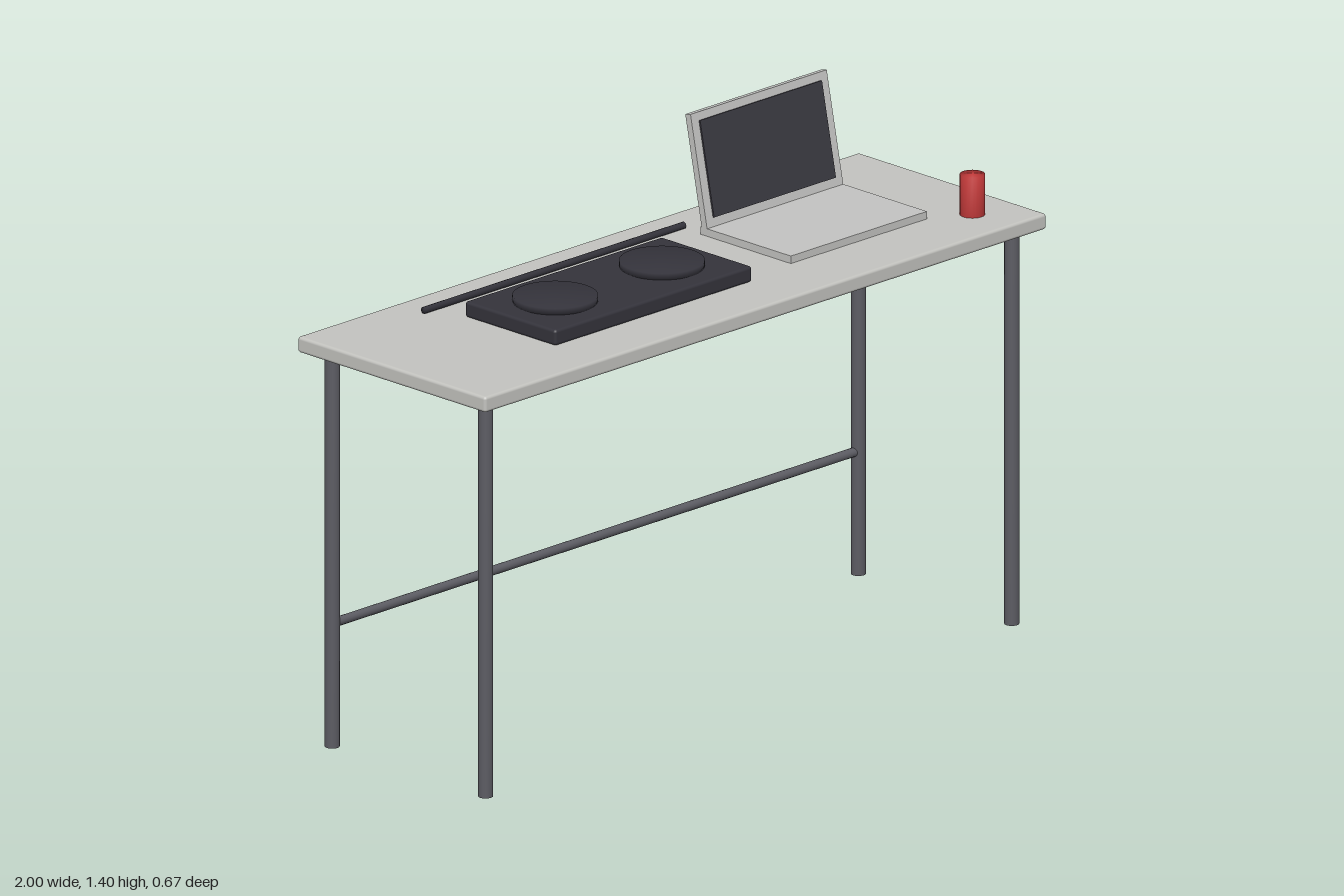
import * as THREE from 'three';
import { mergeVertices } from 'three/addons/utils/BufferGeometryUtils.js';
import { RoundedBoxGeometry } from 'three/addons/geometries/RoundedBoxGeometry.js';

const paint = (name, color) => {
  const m = new THREE.MeshStandardMaterial({ color });
  m.name = name;
  return m;
};

// Cylinder whose normals blend softly from wall to caps
function softCylinder(radius, length, sides = 24) {
  let g = new THREE.CylinderGeometry(radius, radius, length, sides);
  g.deleteAttribute('normal');
  g.deleteAttribute('uv');
  g = mergeVertices(g, 1e-5);
  g.computeVertexNormals();
  return g;
}

export function createModel() {
  const group = new THREE.Group();
  const stone = paint('table grey', 0xc3c3bf);
  const steel = paint('leg steel', 0x5c5c63);
  const dark = paint('charcoal', 0x34333b);
  const shell = paint('laptop silver', 0xc3c3c1);
  const glass = paint('screen dark', 0x3a3941);
  const red = paint('cup red', 0xc83c3c);

  const add = (name, geometry, material, x, y, z, parent = group) => {
    const mesh = new THREE.Mesh(geometry, material);
    mesh.name = name;
    mesh.position.set(x, y, z);
    parent.add(mesh);
    return mesh;
  };

  // Table
  const topY = 1.09;
  add('tableTop', new RoundedBoxGeometry(2, 0.042, 0.667, 2, 0.008), stone, 0, topY - 0.021, 0);
  const legGeo = softCylinder(0.019, 1.05);
  for (const [sx, side] of [[1, 'left'], [-1, 'right']])
    for (const [sz, end] of [[1, 'Front'], [-1, 'Back']])
      add(`${side}${end}Leg`, legGeo, steel, sx * 0.937, 0.525, sz * 0.272);
  add('backBrace', softCylinder(0.012, 1.874, 16), steel, 0, 0.327, -0.272).rotation.z = Math.PI / 2;

  // Twin-disc deck
  const deck = new THREE.Group();
  deck.name = 'discDeck';
  deck.position.set(-0.246, topY, 0.02);
  group.add(deck);
  add('deckBody', new RoundedBoxGeometry(0.702, 0.042, 0.322, 2, 0.008), dark, 0, 0.021, 0, deck);
  const discGeo = softCylinder(0.108, 0.02, 40);
  for (const s of [1, -1])
    add(s > 0 ? 'leftDisc' : 'rightDisc', discGeo, dark, s * 0.19, 0.049, 0, deck);

  // Thin rod lying behind the deck
  add('rod', softCylinder(0.009, 0.927, 12), dark, -0.1915, topY + 0.01, -0.229).rotation.z = Math.PI / 2;

  // Laptop: base and a lid leaning back from its hinge
  const laptop = new THREE.Group();
  laptop.name = 'laptop';
  laptop.position.set(0.515, topY, 0);
  group.add(laptop);
  add('laptopBase', new THREE.BoxGeometry(0.485, 0.02, 0.32), shell, 0, 0.01, -0.01, laptop);
  const lid = new THREE.Group();
  lid.name = 'laptopLid';
  lid.position.set(0, 0.012, -0.155);
  lid.rotation.x = -0.2;
  laptop.add(lid);
  add('lidPanel', new THREE.BoxGeometry(0.485, 0.302, 0.019), shell, 0, 0.151, 0, lid);
  add('screen', new THREE.BoxGeometry(0.434, 0.251, 0.006), glass, 0, 0.155, 0.011, lid);

  // Cup
  add('cup', softCylinder(0.032, 0.107, 24), red, 0.864, topY + 0.0535, 0.205);

  return group;
}
